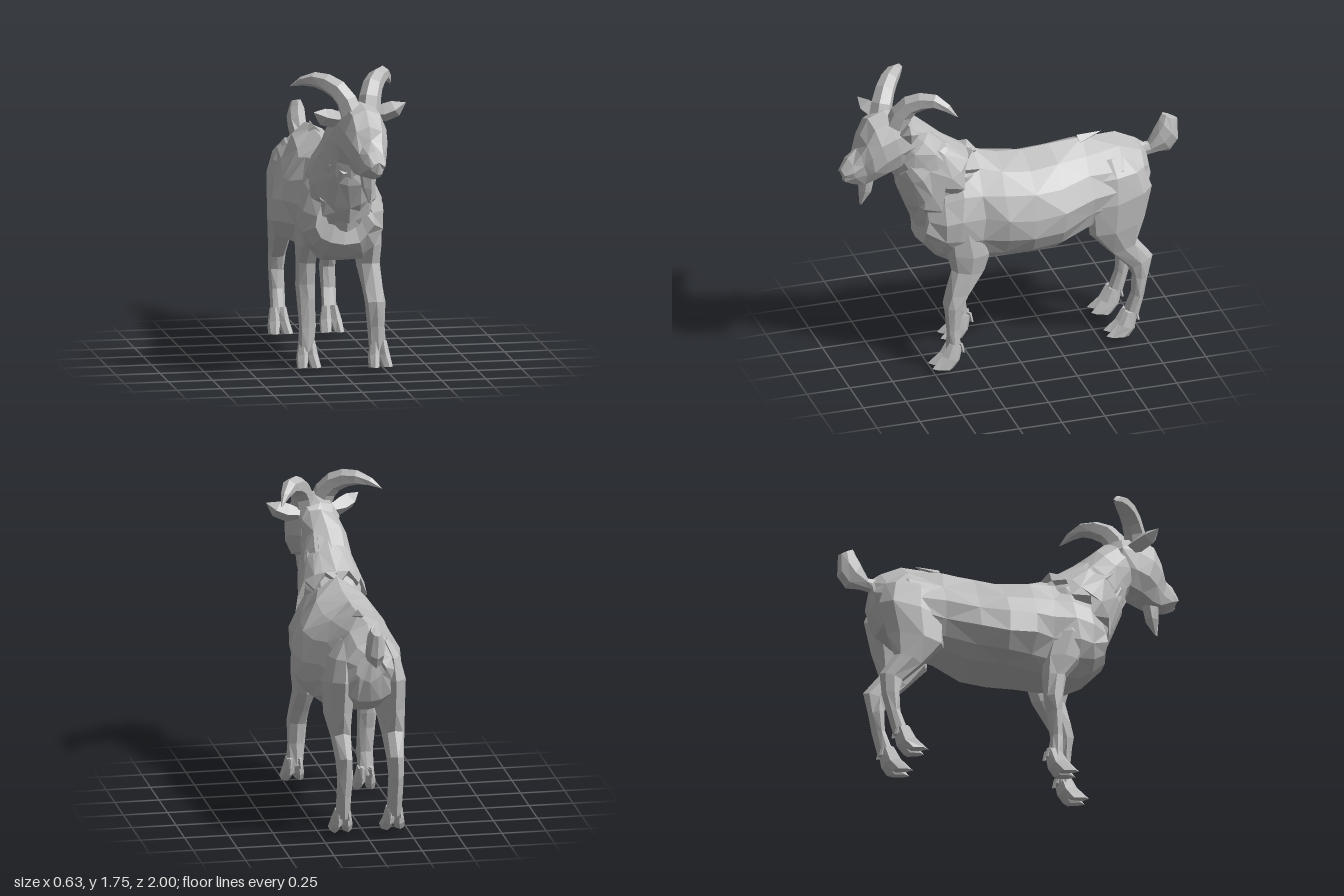
import * as THREE from 'three';

const coat = new THREE.MeshStandardMaterial({ color: 0xbcbcbc, flatShading: true });
coat.name = 'grey coat';

// Small seeded generator for the irregular facets
let seed = 7;
const rnd = () => ((seed = (seed * 16807) % 2147483647) / 2147483647) * 2 - 1;

// Loft through rings. Each ring is [zA, yA, zB, yB, halfWidth, xCentre]:
// A and B are the two ends of the ring in the side profile.
// A low "box" squares the section; "zig" lifts every other point of the first ring.
function loft(rings, sides, { bias = 1, jitter = 0.006, x = 0, box = 0.85, zig = 0 } = {}) {
  const pts = rings.map(([zA, yA, zB, yB, w, xc = 0], r) =>
    Array.from({ length: sides }, (_, i) => {
      const a = (i / sides) * Math.PI * 2;
      const t = Math.pow((1 - Math.cos(a)) / 2, bias);
      const s = Math.sin(a);
      const lift = r === 0 && i % 2 ? zig : 0;
      return new THREE.Vector3(
        x + xc + Math.sign(s) * Math.pow(Math.abs(s), box) * w * (1 - lift) + rnd() * jitter,
        yA + (yB - yA) * t + lift + rnd() * jitter,
        zA + (zB - zA) * t + lift * 0.7 * (t > 0.2 ? 1 : 0.2) + rnd() * jitter);
    }));
  const tris = [];
  for (let r = 0; r + 1 < pts.length; r++) {
    for (let i = 0; i < sides; i++) {
      const j = (i + 1) % sides;
      const a = pts[r][i], b = pts[r][j], c = pts[r + 1][j], d = pts[r + 1][i];
      if ((r + i) % 2) tris.push([a, b, c], [a, c, d]);
      else tris.push([a, b, d], [b, c, d]);
    }
  }
  const last = pts.length - 1;
  for (let i = 1; i + 1 < sides; i++) {
    tris.push([pts[0][0], pts[0][i + 1], pts[0][i]]);
    tris.push([pts[last][0], pts[last][i], pts[last][i + 1]]);
  }
  // Turn all faces outward according to the signed volume
  const o = pts[0][0];
  const v = (p) => p.clone().sub(o);
  const volume = tris.reduce((sum, [a, b, c]) => sum + v(a).dot(v(b).cross(v(c))), 0);
  if (volume < 0) tris.forEach((t) => t.reverse());
  const g = new THREE.BufferGeometry().setFromPoints(tris.flat());
  g.computeVertexNormals();
  return g;
}

// Tube along a path whose radius follows a list of values
function taper(path, radii, steps, sides) {
  const curve = new THREE.CatmullRomCurve3(path.map((p) => new THREE.Vector3(...p)));
  const g = new THREE.TubeGeometry(curve, steps, 1, sides);
  const pos = g.attributes.position;
  const p = new THREE.Vector3();
  for (let i = 0; i < pos.count; i++) {
    const t = Math.floor(i / (sides + 1)) / steps;
    const k = t * (radii.length - 1), n = Math.min(Math.floor(k), radii.length - 2);
    const radius = THREE.MathUtils.lerp(radii[n], radii[n + 1], k - n);
    const c = curve.getPointAt(t);
    p.fromBufferAttribute(pos, i).sub(c).multiplyScalar(radius).add(c);
    pos.setXYZ(i, p.x, p.y, p.z);
  }
  g.computeVertexNormals();
  return g;
}

export function createModel() {
  seed = 7;
  const goat = new THREE.Group();
  goat.name = 'goat';
  const add = (name, geometry, parent = goat) => {
    const m = new THREE.Mesh(geometry, coat);
    m.name = name;
    parent.add(m);
    return m;
  };

  // Barrel body
  add('body', loft([
    [-0.80, 1.11, -0.805, 0.94, 0.08], [-0.75, 1.17, -0.76, 0.80, 0.155],
    [-0.62, 1.225, -0.62, 0.72, 0.215], [-0.43, 1.22, -0.42, 0.68, 0.235],
    [-0.25, 1.205, -0.25, 0.62, 0.28], [-0.08, 1.205, -0.08, 0.61, 0.312],
    [0.07, 1.22, 0.08, 0.61, 0.29], [0.20, 1.25, 0.21, 0.61, 0.24],
    [0.31, 1.26, 0.36, 0.62, 0.25], [0.41, 1.20, 0.45, 0.65, 0.235],
    [0.49, 1.08, 0.53, 0.74, 0.17],
  ], 14, { bias: 0.72, jitter: 0.012, box: 0.92 }));

  // Neck
  add('neck', loft([
    [0.53, 0.82, 0.12, 1.17, 0.16], [0.57, 0.92, 0.20, 1.24, 0.17],
    [0.615, 1.03, 0.29, 1.295, 0.16], [0.655, 1.14, 0.39, 1.385, 0.145],
    [0.68, 1.22, 0.48, 1.46, 0.132], [0.74, 1.32, 0.57, 1.535, 0.12, 0.02],
  ], 12, { jitter: 0.008 }));

  // Shaggy mane draped over the base of the neck, with a ragged hem
  add('mane', loft([
    [0.57, 0.87, 0.17, 1.235, 0.20], [0.60, 0.97, 0.245, 1.275, 0.185],
    [0.65, 1.11, 0.36, 1.35, 0.155], [0.67, 1.18, 0.45, 1.42, 0.125],
  ], 20, { jitter: 0.012, zig: 0.06, box: 0.8 }));

  // Small tufts along the spine
  for (const [y, z] of [[1.225, -0.48], [1.25, 0.27]]) {
    const tuft = add('backTuft', new THREE.ConeGeometry(0.035, 0.14, 4));
    tuft.position.set(0, y, z);
    tuft.rotation.x = -1.3;
  }

  // Cloven foot: two toes and a dewclaw behind
  const foot = (x, z, y) => {
    for (const s of [-1, 1]) {
      add('toe', loft([
        [z - 0.03, y + 0.15, z - 0.11, y + 0.13, 0.024, s * 0.022],
        [z + 0.01, y + 0.08, z - 0.09, y + 0.04, 0.032, s * 0.028],
        [z + 0.075, y + 0.015, z - 0.05, y, 0.028, s * 0.038],
      ], 6, { x, jitter: 0.003 }));
      add('dewclaw', loft([
        [z - 0.08, y + 0.15, z - 0.11, y + 0.14, 0.014, s * 0.025],
        [z - 0.10, y + 0.09, z - 0.12, y + 0.085, 0.008, s * 0.03],
      ], 4, { x, jitter: 0 }));
    }
  };

  // Front legs: the left one steps forward
  add('frontLegLeft', loft([
    [0.36, 1.02, 0.24, 1.02, 0.04, -0.03], [0.42, 0.86, 0.19, 0.86, 0.065, -0.005],
    [0.41, 0.71, 0.15, 0.69, 0.07, -0.005], [0.38, 0.60, 0.19, 0.58, 0.065, -0.01],
    [0.42, 0.47, 0.28, 0.46, 0.062, 0.005], [0.435, 0.39, 0.33, 0.37, 0.058, 0.015],
    [0.42, 0.25, 0.345, 0.25, 0.048, 0.02], [0.425, 0.12, 0.335, 0.12, 0.05, 0.025],
  ], 8, { x: 0.18 }));
  foot(0.21, 0.445, 0.025);
  add('frontLegRight', loft([
    [0.36, 1.02, 0.24, 1.02, 0.04, 0.02], [0.41, 0.86, 0.18, 0.86, 0.065, -0.005],
    [0.37, 0.71, 0.15, 0.70, 0.067, -0.005], [0.28, 0.60, 0.145, 0.59, 0.06, -0.005],
    [0.26, 0.47, 0.15, 0.46, 0.055], [0.265, 0.39, 0.175, 0.37, 0.05],
    [0.265, 0.23, 0.195, 0.23, 0.044, 0.005], [0.265, 0.10, 0.175, 0.10, 0.045],
  ], 8, { x: -0.165 }));
  foot(-0.163, 0.275, 0.002);

  // Hind legs: the left hock stands slightly closer in
  for (const s of [1, -1]) {
    const hock = s > 0 ? -0.018 : 0;
    add(s > 0 ? 'hindLegLeft' : 'hindLegRight', loft([
      [-0.50, 1.12, -0.66, 1.13, 0.03, s * -0.05], [-0.44, 1.02, -0.76, 1.05, 0.075, s * -0.025],
      [-0.41, 0.86, -0.80, 0.93, 0.092, s * -0.015],
      [-0.43, 0.69, -0.755, 0.74, 0.083, s * -0.005], [-0.55, 0.56, -0.715, 0.61, 0.062, hock],
      [-0.66, 0.45, -0.80, 0.49, 0.048, hock], [-0.685, 0.38, -0.78, 0.36, 0.044, hock],
      [-0.68, 0.27, -0.75, 0.25, 0.041, hock], [-0.635, 0.14, -0.72, 0.12, 0.043, hock],
    ], 8, { x: s * 0.155, bias: 1.25, box: 1 }));
    foot(s * 0.155 + hock, -0.6, 0.025);
  }

  // Upturned tail
  add('tail', loft([
    [-0.76, 1.13, -0.77, 1.04, 0.035], [-0.82, 1.13, -0.84, 1.06, 0.033],
    [-0.86, 1.215, -0.95, 1.06, 0.05], [-0.885, 1.265, -0.995, 1.12, 0.05],
    [-0.905, 1.295, -0.99, 1.25, 0.03],
  ], 8, { jitter: 0.004 }));

  // Head, turned slightly to its left about z = 0.7
  const head = new THREE.Group();
  const yaw = 0.19;
  head.name = 'head';
  head.rotation.y = yaw;
  head.position.set(0.035 - 0.7 * Math.sin(yaw), 0, 0.7 - 0.7 * Math.cos(yaw));
  goat.add(head);
  add('skull', loft([
    [0.56, 1.50, 0.57, 1.36, 0.08], [0.62, 1.57, 0.60, 1.29, 0.115],
    [0.74, 1.60, 0.67, 1.235, 0.13], [0.84, 1.565, 0.75, 1.21, 0.128],
    [0.885, 1.48, 0.82, 1.19, 0.11], [0.91, 1.40, 0.88, 1.185, 0.085],
    [0.96, 1.35, 0.945, 1.19, 0.062], [1.003, 1.30, 0.99, 1.225, 0.036],
  ], 10, { jitter: 0.008, box: 0.75 }), head);
  add('beard', loft([
    [0.90, 1.22, 0.79, 1.23, 0.048], [0.895, 1.13, 0.815, 1.13, 0.038],
    [0.888, 1.045, 0.873, 1.05, 0.008],
  ], 6, { jitter: 0.004 }), head);

  // Swept-back horns
  add('hornLeft', taper([[0.10, 1.53, 0.68], [0.12, 1.63, 0.64], [0.16, 1.685, 0.57],
    [0.22, 1.70, 0.48], [0.28, 1.62, 0.38]], [0.066, 0.06, 0.052, 0.038, 0.002], 6, 6));
  add('hornRight', taper([[-0.01, 1.53, 0.74], [-0.05, 1.63, 0.71], [-0.13, 1.69, 0.65],
    [-0.22, 1.70, 0.58], [-0.315, 1.655, 0.52]], [0.066, 0.06, 0.052, 0.038, 0.002], 6, 6));

  // Ears
  add('earLeft', taper([[0.13, 1.50, 0.63], [0.22, 1.515, 0.64], [0.312, 1.565, 0.66]],
    [0.03, 0.052, 0.048, 0.002], 3, 4));
  add('earRight', taper([[-0.06, 1.50, 0.69], [-0.15, 1.51, 0.75], [-0.235, 1.555, 0.80]],
    [0.03, 0.052, 0.048, 0.002], 3, 4));
  return goat;
}
